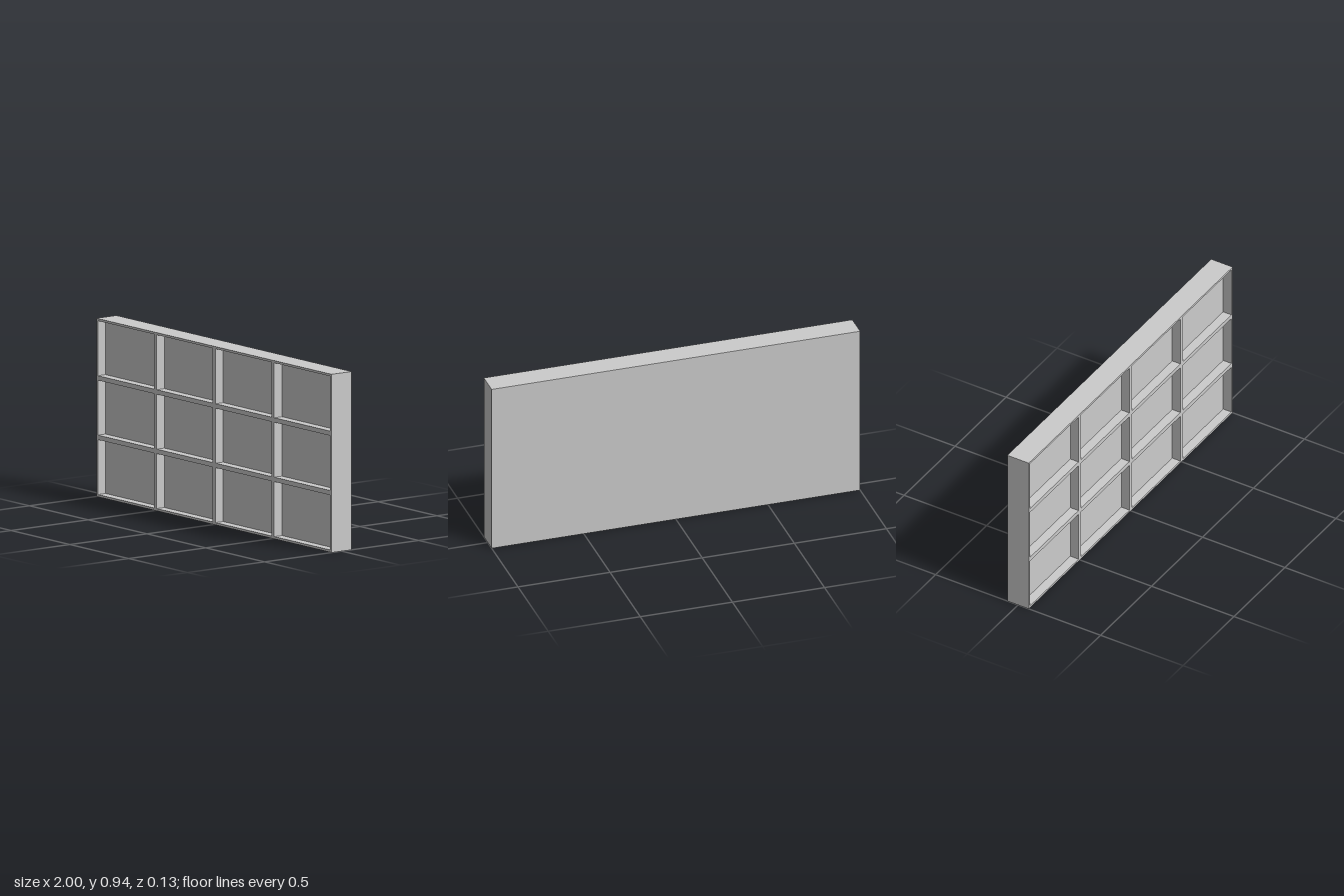
import * as THREE from 'three';

const WIDTH = 2, HEIGHT = 0.935, DEPTH = 0.13;
const COLS = 4, ROWS = 3, BAR = 0.024, RECESS = 0.05;

export function createModel() {
  const group = new THREE.Group();
  group.name = 'shelfUnit';
  const material = new THREE.MeshStandardMaterial({ color: 0xcccccc, flatShading: true });

  // Solid back panel
  const panelDepth = DEPTH - RECESS;
  const panel = new THREE.Mesh(new THREE.BoxGeometry(WIDTH, HEIGHT, panelDepth), material);
  panel.name = 'backPanel';
  panel.position.set(0, HEIGHT / 2, -DEPTH / 2 + panelDepth / 2);
  group.add(panel);

  // Front lattice: a rectangle with one opening per compartment
  const shape = new THREE.Shape([
    new THREE.Vector2(-WIDTH / 2, 0), new THREE.Vector2(WIDTH / 2, 0),
    new THREE.Vector2(WIDTH / 2, HEIGHT), new THREE.Vector2(-WIDTH / 2, HEIGHT),
  ]);
  const cellW = WIDTH / COLS, cellH = HEIGHT / ROWS;
  for (let c = 0; c < COLS; c++) {
    for (let r = 0; r < ROWS; r++) {
      const x0 = -WIDTH / 2 + c * cellW + BAR / 2, x1 = x0 + cellW - BAR;
      const y0 = r * cellH + BAR / 2, y1 = y0 + cellH - BAR;
      shape.holes.push(new THREE.Path([
        new THREE.Vector2(x0, y0), new THREE.Vector2(x0, y1),
        new THREE.Vector2(x1, y1), new THREE.Vector2(x1, y0),
      ]));
    }
  }
  const lattice = new THREE.Mesh(
    new THREE.ExtrudeGeometry(shape, { depth: RECESS, bevelEnabled: false }), material);
  lattice.name = 'frontLattice';
  lattice.position.z = DEPTH / 2 - RECESS;
  group.add(lattice);

  return group;
}
